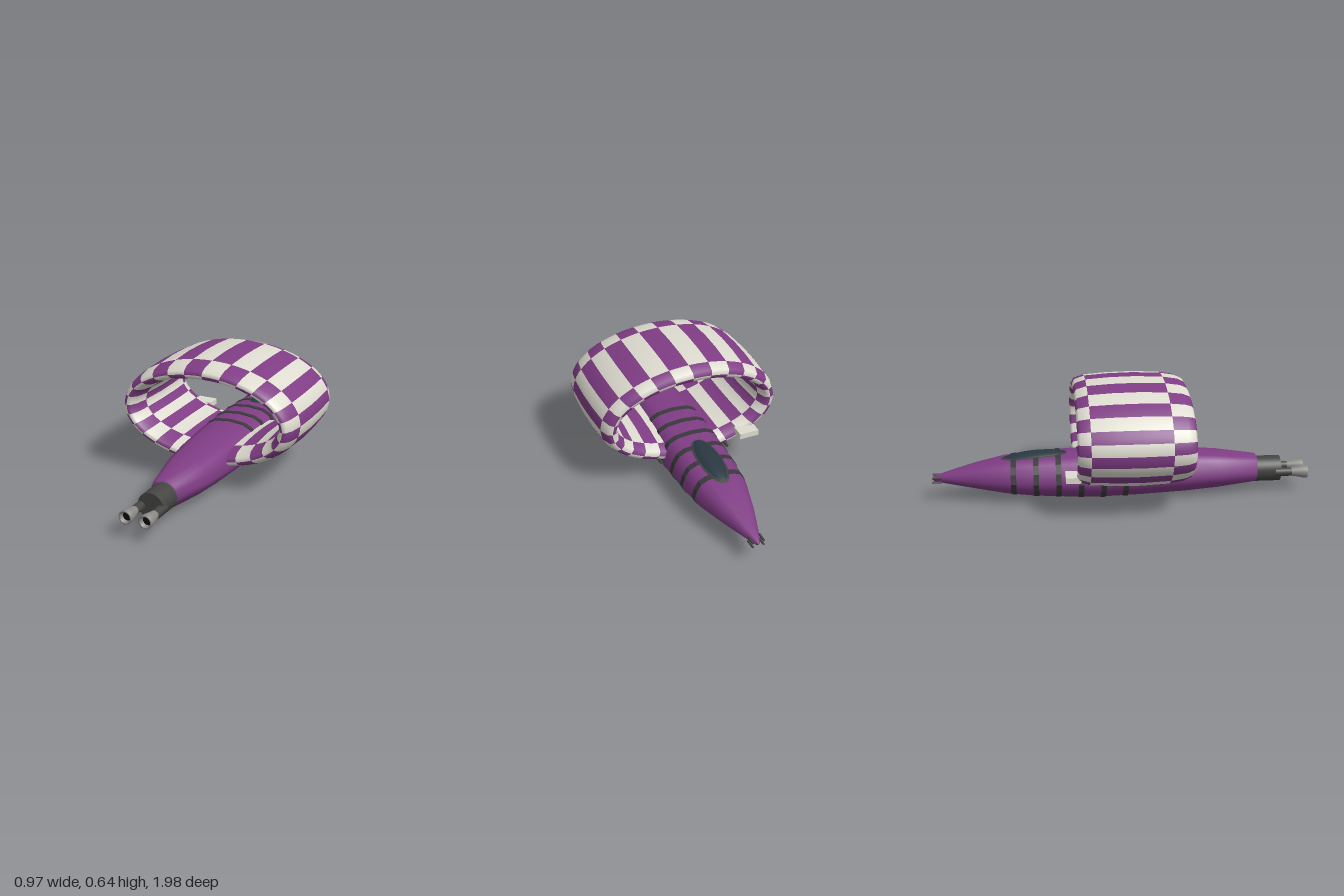
import * as THREE from 'three';

const mat = (color, extra = {}) => new THREE.MeshStandardMaterial({ color, roughness: 0.7, ...extra });
const purple = mat(0x803d85);
const white = mat(0xdedcd0);
const dark = mat(0x444442);
const band = mat(0x39393c, { flatShading: true });
const steel = mat(0x8c8a86, { side: THREE.DoubleSide });
const black = mat(0x0c0c0c);
const glass = mat(0x2a3842);

// Skin a list of rings; points in each ring always wrap round
function loft(rings, wrapRings = false) {
  const n = rings[0].length, m = rings.length, index = [];
  for (let i = 0; i < (wrapRings ? m : m - 1); i++) {
    for (let j = 0; j < n; j++) {
      const k = (j + 1) % n, i2 = (i + 1) % m;
      const a = i * n + j, b = i * n + k, c = i2 * n + k, d = i2 * n + j;
      index.push(a, b, c, a, c, d);
    }
  }
  const geo = new THREE.BufferGeometry();
  geo.setAttribute('position', new THREE.Float32BufferAttribute(rings.flat(2), 3));
  geo.setIndex(index);
  geo.computeVertexNormals();
  return geo;
}

// Hull stations: z, half width, bottom, top
const stations = [
  [-0.97, 0.012, 0.105, 0.132], [-0.9, 0.04, 0.092, 0.153], [-0.75, 0.092, 0.066, 0.192],
  [-0.6, 0.135, 0.04, 0.222], [-0.45, 0.153, 0.022, 0.238], [-0.25, 0.163, 0.01, 0.247],
  [-0.1, 0.165, 0.005, 0.249], [0.1, 0.16, 0.01, 0.246], [0.34, 0.146, 0.02, 0.237],
  [0.52, 0.125, 0.032, 0.224], [0.73, 0.075, 0.052, 0.198],
];
const halfSection = [[0, -1], [0.53, -0.87], [0.88, -0.45], [1, -0.1], [0.91, 0.38], [0.76, 0.75], [0.5, 0.93], [0, 1]];
const section = [...halfSection, ...halfSection.slice(1, -1).reverse().map(([x, y]) => [-x, y])];

function hullRing(z, grow = 0) {
  let i = 0;
  while (i < stations.length - 2 && stations[i + 1][0] < z) i++;
  const p = stations[i], q = stations[i + 1], t = (z - p[0]) / (q[0] - p[0]);
  const [w, lo, hi] = [1, 2, 3].map(k => p[k] + (q[k] - p[k]) * t);
  const cy = (lo + hi) / 2, h = (hi - lo) / 2;
  return section.map(([x, y]) => [x * (w + grow), cy + y * (h + grow), z]);
}

export function createModel() {
  const model = new THREE.Group();
  const add = (name, geo, material, x = 0, y = 0, z = 0, parent = model) => {
    const mesh = new THREE.Mesh(geo, material);
    mesh.name = name;
    mesh.position.set(x, y, z);
    parent.add(mesh);
    return mesh;
  };
  const tube = (r0, r1, len, open = false) =>
    new THREE.CylinderGeometry(r1, r0, len, 20, 1, open).rotateX(Math.PI / 2);

  // Hull, closed to a point at each end
  const point = z => section.map(() => [0, 0.12, z]);
  add('hull', loft([point(-0.98), ...stations.map(s => hullRing(s[0])), point(0.73)]), purple);

  // Dark bands wrapped round the hull
  for (let i = 0; i < 6; i++) {
    const z0 = -0.57 + i * 0.116, z1 = z0 + 0.028;
    add('hullBand', loft([hullRing(z0, -0.003), hullRing(z0, 0.003), hullRing(z1, 0.003), hullRing(z1, -0.003)]), band);
  }

  // Ring wing: an oval swept by a thick aerofoil, in checks of 28 columns by 6 rows
  const outer = [[-0.24, 0], [-0.228, 0.023], [-0.175, 0.041], [-0.05, 0.05], [0.08, 0.0525],
    [0.225, 0.046], [0.3, 0.034], [0.335, 0.017], [0.345, 0]];
  const foil = [...outer, ...outer.slice(1, -1).reverse().map(([z, o]) => [z, -o])];
  const rows = [0, 0, 1, 1, 1, 2, 2, 2, 3, 3, 3, 4, 4, 4, 5, 5];
  const columns = 28, split = 4, around = columns * split;
  const wingGeo = loft(foil.map(([z, o]) => Array.from({ length: around }, (_, u) => {
    const a = (u / around) * Math.PI * 2;
    return [Math.cos(a) * (0.433 + o), 0.37 + Math.sin(a) * (0.222 + o), z];
  })), true);
  const wing = new THREE.Group();
  wing.name = 'ringWing';
  model.add(wing);
  const all = Array.from(wingGeo.index.array);
  [white, purple].forEach((material, parity) => {
    const geo = wingGeo.clone();
    geo.setIndex(all.filter((_, i) => {
      const quad = Math.floor(i / 6);
      const column = Math.floor((quad % around) / split);
      return (column + rows[Math.floor(quad / around)]) % 2 === parity;
    }));
    add(parity ? 'purpleChecks' : 'whiteChecks', geo, material, 0, 0, 0, wing);
  });

  // Canopy with a dark rim, tipped down towards the nose
  const canopy = (name, rx, ry, rz, material, y) => {
    const mesh = add(name, new THREE.SphereGeometry(1, 32, 20).scale(rx, ry, rz), material, 0, y, -0.44);
    mesh.rotation.x = -0.07;
  };
  canopy('canopyRim', 0.073, 0.028, 0.2, dark, 0.218);
  canopy('canopyGlass', 0.066, 0.04, 0.19, glass, 0.214);

  // Engine block and twin nozzles
  add('engineBlock', new THREE.CylinderGeometry(0.068, 0.068, 0.14, 32).rotateX(Math.PI / 2), dark, 0, 0.118, 0.79);
  const bell = new THREE.LatheGeometry(
    [[0.022, 0], [0.025, 0.02], [0.033, 0.06], [0.034, 0.085], [0.026, 0.085], [0.022, 0.06]]
      .map(([r, y]) => new THREE.Vector2(r, y)), 24).rotateX(Math.PI / 2);
  for (const s of [-1, 1]) {
    add('exhaustPipe', tube(0.023, 0.022, 0.1), dark, s * 0.053, 0.112, 0.88);
    add('nozzleBell', bell, steel, s * 0.053, 0.112, 0.915);
    add('nozzleBore', new THREE.CircleGeometry(0.025, 24), black, s * 0.053, 0.112, 0.98);

    // Nose guns and side guns
    for (const y of [0.106, 0.13]) add('noseGun', tube(0.005, 0.006, 0.05), dark, s * 0.028, y, -0.953);
    add('sideGun', tube(0.008, 0.009, 0.13), dark, s * 0.185, 0.145, -0.195);
  }

  // Small flap on the trailing edge of the wing
  add('wingFlap', new THREE.BoxGeometry(0.105, 0.03, 0.075), white, -0.293, 0.208, -0.2575);

  return model;
}
